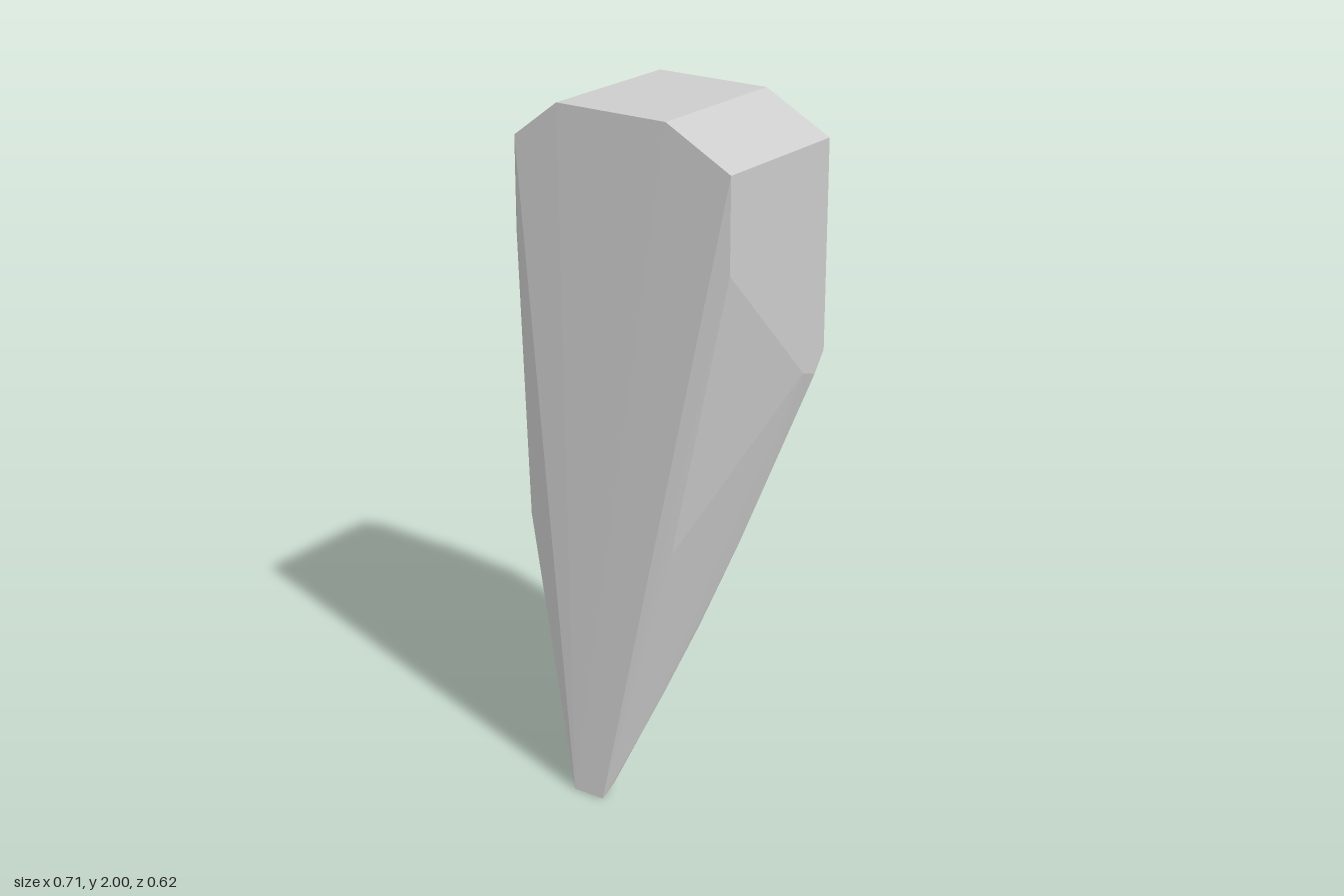
import * as THREE from 'three';
import { ConvexGeometry } from 'three/addons/geometries/ConvexGeometry.js';

export function createModel() {
  const model = new THREE.Group();
  const stone = new THREE.MeshStandardMaterial({ color: 0xcccccc });
  stone.name = 'pale grey';

  const points = [];
  const add = (x, y, z) => points.push(new THREE.Vector3(x, y, z));

  // Crown: chamfered top and upright flanks, repeated front and back
  for (const z of [0.18, -0.295]) {
    add(-0.21, 2, z);
    add(0.15, 2, z);
    for (const x of [-0.357, 0.357]) add(x, 1.89, z);
  }
  // Lower corners of the flat flanks
  for (const x of [-0.357, 0.357]) {
    add(x, 1.62, 0.18);
    add(x, 1.24, -0.19);
    add(x, 1.22, -0.25);
    add(x, 1.28, -0.295);
  }
  // Shallow ridge across the back
  add(-0.27, 1.68, -0.31);
  add(0.21, 1.68, -0.31);
  // Front face narrowing to the blunt tip
  add(-0.285, 0.8, 0.23);
  add(0.21, 0.8, 0.235);
  add(-0.08, 0, 0.31);
  add(0.02, 0, 0.308);

  // Curved back: height, depth, right edge, left edge; with a narrow bevel
  const rows = [
    [0.94, -0.17, -0.315, 0.283],
    [0.73, -0.10, -0.277, 0.228],
    [0.49, 0.0, -0.217, 0.162],
    [0.30, 0.10, -0.168, 0.11],
    [0.18, 0.17, -0.138, 0.076],
    [0.08, 0.235, -0.112, 0.046],
  ];
  for (const [y, z, right, left] of rows) {
    add(right, y, z + 0.025);
    add(left, y, z + 0.025);
    add(right + 0.018, y, z);
    add(left - 0.018, y, z);
  }
  // Tip underside
  add(-0.1, 0.04, 0.27);
  add(0.034, 0.04, 0.27);

  const body = new THREE.Mesh(new ConvexGeometry(points), stone);
  body.name = 'taperedStone';
  model.add(body);
  return model;
}
